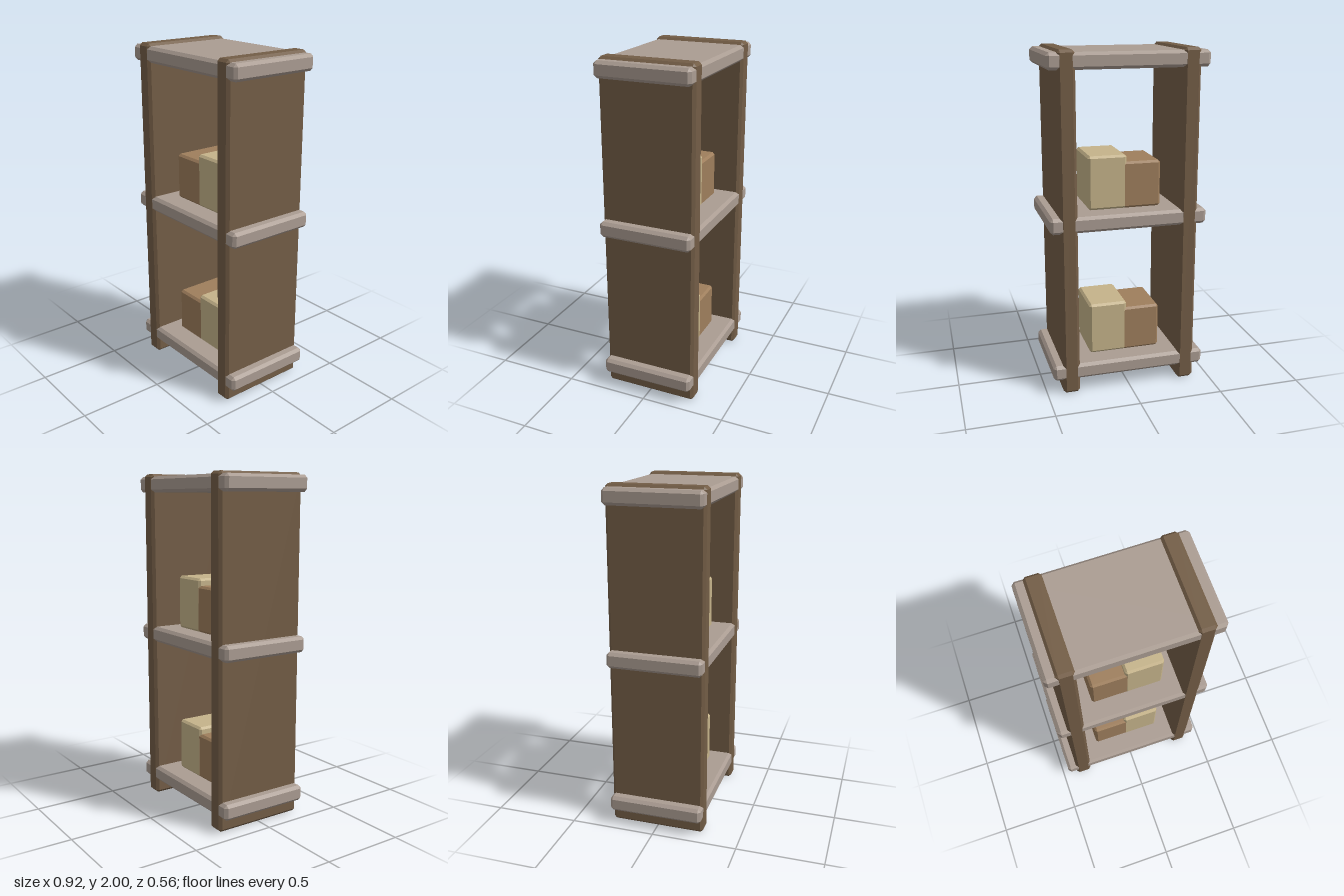
import * as THREE from 'three';
import { ConvexGeometry } from 'three/addons/geometries/ConvexGeometry.js';

const paint = (color) => new THREE.MeshStandardMaterial({ color, flatShading: true });

// Box with every edge chamfered by c: each corner becomes three points
function chamferBox(w, h, d, c) {
  const half = [w / 2, h / 2, d / 2];
  const points = [];
  for (const sx of [-1, 1]) for (const sy of [-1, 1]) for (const sz of [-1, 1]) {
    for (let axis = 0; axis < 3; axis++) {
      const [x, y, z] = half.map((v, i) => (i === axis ? v : v - c));
      points.push(new THREE.Vector3(sx * x, sy * y, sz * z));
    }
  }
  return new ConvexGeometry(points);
}

export function createModel() {
  const model = new THREE.Group();
  model.name = 'shelfUnit';

  const darkWood = paint(0x735d46);
  const paleWood = paint(0xaa9c92);
  const brownCard = paint(0x9e7e5c);
  const tanCard = paint(0xc5b38a);

  const add = (name, geometry, material, x, y, z = 0) => {
    const mesh = new THREE.Mesh(geometry, material);
    mesh.name = name;
    mesh.position.set(x, y, z);
    model.add(mesh);
  };

  // Side panels, a hair deeper than the shelves so their fronts stay clean
  const panel = chamferBox(0.1, 2, 0.558, 0.016);
  add('leftPanel', panel, darkWood, 0.355, 1);
  add('rightPanel', panel, darkWood, -0.355, 1);

  // Three shelves running through the panels
  const shelfHeight = 0.093;
  const shelf = chamferBox(0.924, shelfHeight, 0.556, 0.017);
  const shelfBottoms = [0.087, 0.99, 1.893];
  shelfBottoms.forEach((y) => add('shelf', shelf, paleWood, 0, y + shelfHeight / 2));

  // A pair of slightly overlapping boxes on each of the two lower shelves
  const shortBox = chamferBox(0.235, 0.274, 0.31, 0.013);
  const tallBox = chamferBox(0.23, 0.316, 0.312, 0.013);
  shelfBottoms.slice(0, 2).forEach((y) => {
    const top = y + shelfHeight;
    add('shortBox', shortBox, brownCard, -0.1, top + 0.137);
    add('tallBox', tallBox, tanCard, 0.1, top + 0.158);
  });

  return model;
}
